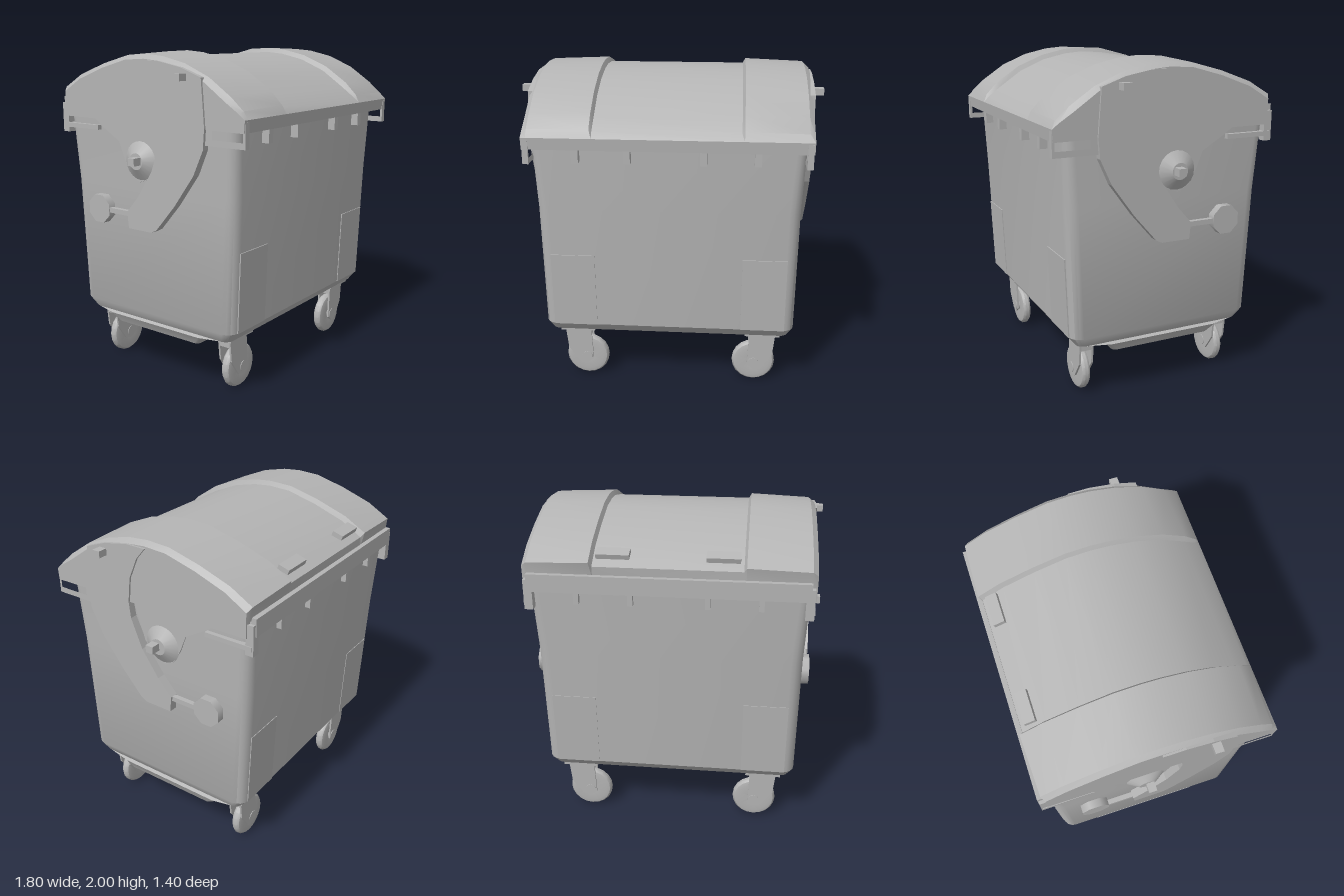
import * as THREE from 'three';
import { toCreasedNormals } from 'three/addons/utils/BufferGeometryUtils.js';

const grey = new THREE.MeshStandardMaterial({ color: 0xb4b4b4 });
grey.name = 'galvanised grey';

// Closed skin through rings that run counter-clockwise about the advance direction
function loft(rings, crease = 0.6) {
  const pos = [], n = rings[0].length;
  const tri = (...p) => p.forEach(q => pos.push(q[0], q[1], q[2]));
  const centre = r => [0, 1, 2].map(k => r.reduce((s, p) => s + p[k], 0) / n);
  const first = rings[0], last = rings[rings.length - 1];
  const c0 = centre(first), c1 = centre(last);
  for (let j = 0; j < n; j++) {
    const k = (j + 1) % n;
    for (let i = 0; i < rings.length - 1; i++) {
      const a = rings[i][j], b = rings[i][k], c = rings[i + 1][k], d = rings[i + 1][j];
      tri(a, b, c);
      tri(a, c, d);
    }
    tri(c0, first[k], first[j]);
    tri(c1, last[j], last[k]);
  }
  const g = new THREE.BufferGeometry();
  g.setAttribute('position', new THREE.Float32BufferAttribute(pos, 3));
  return toCreasedNormals(g, crease);
}

// Rounded rectangle ring at height y
function roundedRing([y, hx, front, back, r]) {
  const ring = [];
  [[1, -1], [-1, -1], [-1, 1], [1, 1]].forEach(([sx, sz], q) => {
    const cx = sx * (hx - r), cz = sz < 0 ? back + r : front - r;
    for (let i = 0; i <= 4; i++) {
      const a = (q + i / 4) * Math.PI / 2;
      ring.push([cx + r * Math.cos(a), y, cz - r * Math.sin(a)]);
    }
  });
  return ring;
}

// Plate with a [z, y] outline, thick along x between x0 and x1
function sidePlate(outline, x0, x1, hole) {
  const pts = list => list.map(([z, y]) => new THREE.Vector2(-z, y));
  const shape = new THREE.Shape(pts(outline));
  if (hole) shape.holes.push(new THREE.Path(pts(hole)));
  const g = new THREE.ExtrudeGeometry(shape, { depth: x1 - x0, bevelEnabled: false });
  return g.rotateY(Math.PI / 2).translate(x0, 0, 0);
}

const rect = (z0, z1, y0, y1) => [[z0, y0], [z1, y0], [z1, y1], [z0, y1]];

export function createModel() {
  const model = new THREE.Group();
  model.name = 'wheeledContainer';
  const add = (name, geometry, parent = model) => {
    const m = new THREE.Mesh(geometry, grey);
    m.name = name;
    parent.add(m);
    return m;
  };
  const box = (name, size, at, parent) => {
    const m = add(name, new THREE.BoxGeometry(...size), parent);
    m.position.set(...at);
    return m;
  };

  // Tapered tub with a narrower sunken floor
  add('body', loft([
    [0.30, 0.75, 0.31, -0.35, 0.03], [0.35, 0.77, 0.35, -0.41, 0.03],
    [0.36, 0.75, 0.53, -0.56, 0.05], [0.42, 0.78, 0.575, -0.61, 0.07],
    [1.2, 0.785, 0.605, -0.645, 0.07], [1.6, 0.80, 0.62, -0.665, 0.06],
  ].map(roundedRing)));

  // Domed lid: two raised end bands and a lower middle
  const profile = [
    [-0.66, 1.6], [-0.67, 1.7], [-0.69, 1.79], [-0.55, 1.87], [-0.35, 1.94], [-0.15, 1.992],
    [0, 2], [0.12, 1.99], [0.28, 1.955], [0.45, 1.885], [0.6, 1.785], [0.675, 1.71], [0.7, 1.66], [0.695, 1.59],
  ];
  const lidRing = ([x, inset]) => profile.map(([z, y]) => {
    const d = inset * THREE.MathUtils.clamp((y - 1.66) / 0.1, 0, 1);
    return [x, y - d, z * (1 - d)];
  });
  add('lid', loft([
    [-0.83, 0.04], [-0.8, 0.014], [-0.44, 0], [-0.425, 0.028],
    [0.425, 0.028], [0.44, 0], [0.8, 0.014], [0.83, 0.04],
  ].map(lidRing), 0.5));

  // Rims and the lugs under them
  box('rearRim', [1.6, 0.08, 0.06], [0, 1.65, -0.675]);
  box('rearRimLip', [1.6, 0.03, 0.03], [0, 1.70, -0.69]);
  for (const x of [-0.53, -0.23, 0.21, 0.52]) {
    box('frontLug', [0.04, 0.1, 0.05], [x, 1.555, 0.64]);
    box('rearLug', [0.03, 0.08, 0.04], [x, 1.58, -0.675]);
  }

  // Shallow corner panels on the front and back walls
  for (const s of [-1, 1]) {
    box('frontCornerPanel', [0.27, 0.48, 0.009], [s * 0.585, 0.66, 0.585]).rotation.x = 0.04;
    box('rearCornerPanel', [0.27, 0.48, 0.009], [s * 0.585, 0.66, -0.62]).rotation.x = -0.045;
    box('lidGrip', [0.19, 0.03, 0.07], [s * 0.31, 1.825, -0.615]).rotation.x = -0.3;
  }

  // Outlines shared by both sides
  const armOutline = [
    [0.42, 1.87], [0.44, 1.6], [0.43, 1.48], [0.36, 1.33], [0.22, 1.14], [0.08, 0.98], [0.04, 0.96],
    [-0.14, 0.96], [-0.15, 1.06], [-0.06, 1.16], [0.05, 1.32], [0.12, 1.5], [0.13, 1.6],
    [0.11, 1.75], [0.05, 1.88], [-0.01, 1.95], [0.12, 1.95], [0.28, 1.92],
  ];
  const bracketOutline = [
    [0.13, 1.6], [0.06, 1.36], [0.0, 1.27], [-0.08, 1.24], [-0.15, 1.28],
    [-0.2, 1.37], [-0.24, 1.47], [-0.36, 1.54], [-0.45, 1.6],
  ];

  for (const s of [-1, 1]) {
    const side = new THREE.Group();
    side.name = s > 0 ? 'leftSide' : 'rightSide';
    model.add(side);
    const plate = (name, outline, x0, x1, hole) =>
      add(name, sidePlate(outline, s > 0 ? x0 : -x1, s > 0 ? x1 : -x0, hole), side);

    // Swing arm with counterweight
    plate('swingArm', armOutline, 0.79, 0.842);
    box('counterweightRod', [0.03, 0.03, 0.2], [s * 0.815, 1.045, -0.23], side);
    const weight = add('counterweight', new THREE.CylinderGeometry(0.092, 0.092, 0.05, 8)
      .rotateY(Math.PI / 8).rotateZ(Math.PI / 2), side);
    weight.position.set(s * 0.81, 1.045, -0.395);

    // Pivot bracket, boss and pins
    plate('pivotBracket', bracketOutline, 0.77, 0.80);
    const boss = add('pivotBoss', new THREE.CylinderGeometry(0.05, 0.12, 0.045, 20)
      .rotateZ(-s * Math.PI / 2), side);
    boss.position.set(s * 0.82, 1.37, -0.07);
    box('pivotPin', [0.1, 0.045, 0.05], [s * 0.85, 1.375, -0.055], side);
    box('lidPin', [0.08, 0.04, 0.05], [s * 0.86, 1.87, 0.295], side);

    // Front grip loop and rear grip rail
    plate('frontGrip', rect(0.43, 0.70, 1.505, 1.65), 0.79, 0.825, rect(0.48, 0.685, 1.54, 1.6));
    plate('rearGripRail', rect(-0.69, -0.39, 1.53, 1.558), 0.78, 0.825);
    plate('rearGripEnd', rect(-0.70, -0.65, 1.5, 1.68), 0.77, 0.82);

    // Casters, their axles running front to back
    for (const z of [0.445, -0.485]) {
      const caster = new THREE.Group();
      caster.name = 'caster';
      caster.position.set(s * 0.54, 0, z);
      caster.scale.x = 1;
      side.add(caster);
      box('casterMount', [0.22, 0.04, 0.14], [s * 0.05, 0.36, 0], caster);
      box('casterSwivel', [0.16, 0.06, 0.09], [s * 0.05, 0.32, 0], caster);
      const tyreProfile = [[0.03, -0.025], [0.1, -0.03], [0.125, -0.025], [0.137, -0.01],
        [0.137, 0.01], [0.125, 0.025], [0.1, 0.03], [0.03, 0.025]]
        .map(p => new THREE.Vector2(...p));
      const tyre = add('wheel', toCreasedNormals(
        new THREE.LatheGeometry(tyreProfile, 20).rotateX(Math.PI / 2), 0.7), caster);
      tyre.position.y = 0.137;
      const hub = add('wheelHub', new THREE.CylinderGeometry(0.035, 0.035, 0.1, 10)
        .rotateX(Math.PI / 2), caster);
      hub.position.y = 0.137;

      // Fork cheeks lean from the swivel down to the axle
      const fork = new THREE.Shape([[-0.03, 0.34], [-0.04, 0.12], [0.0, 0.09], [0.05, 0.1],
        [0.12, 0.2], [0.135, 0.34]].map(([x, y]) => new THREE.Vector2(s * x, y)));
      for (const f of [-1, 1]) {
        const cheek = add('forkCheek', new THREE.ExtrudeGeometry(fork,
          { depth: 0.012, bevelEnabled: false }), caster);
        cheek.position.z = f * 0.04 - 0.006;
      }
    }
  }
  return model;
}
